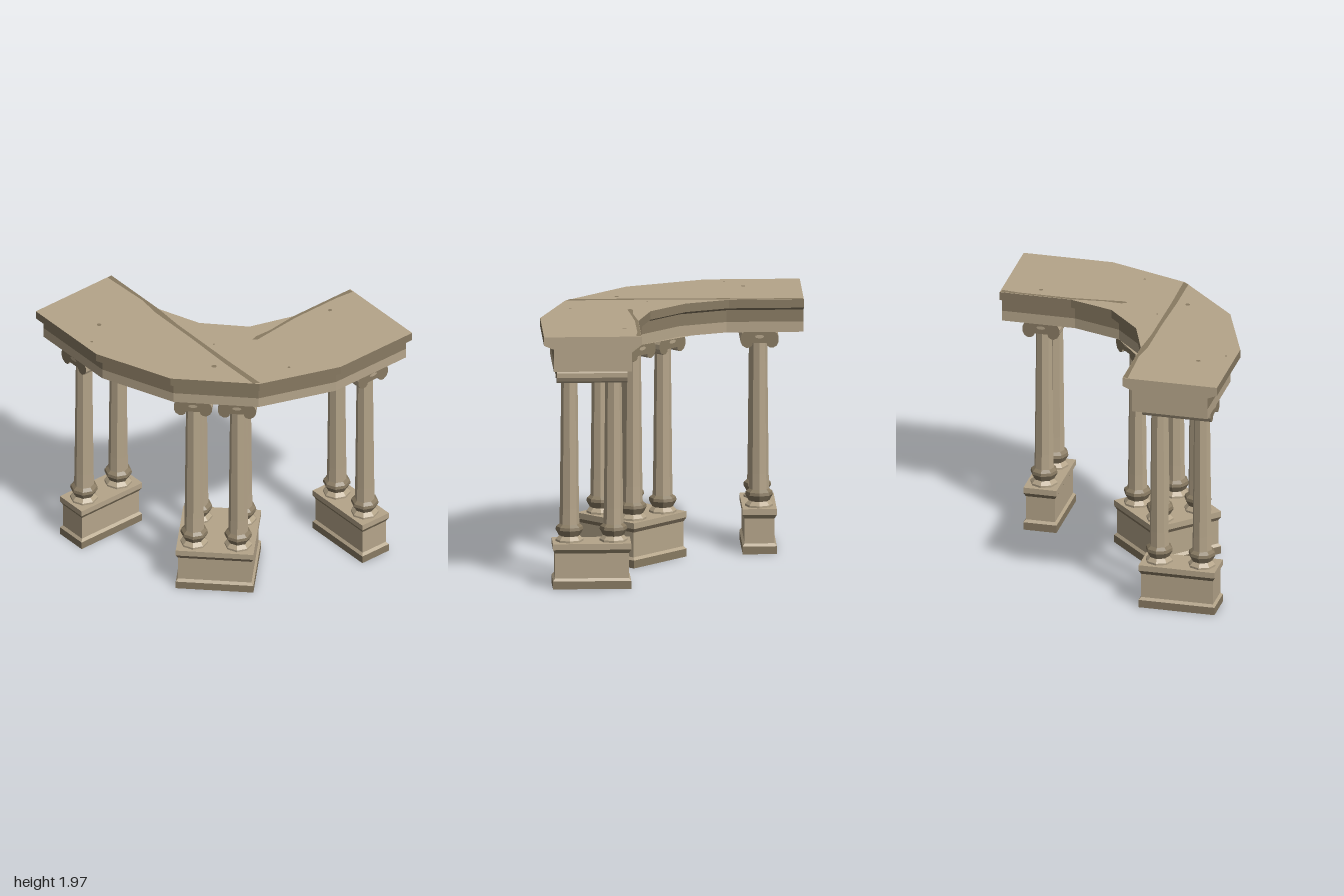
import * as THREE from 'three';

const stone = new THREE.MeshStandardMaterial({ color: 0xb5a58a });
stone.name = 'paleStone';
const worn = new THREE.MeshStandardMaterial({ color: 0x887a62 });
worn.name = 'weatheredStone';
const mats = [stone, worn];

function mesh(name, geometry, material) {
  const m = new THREE.Mesh(geometry, material);
  m.name = name;
  return m;
}

function flat(geometry) {
  const g = geometry.index ? geometry.toNonIndexed() : geometry;
  g.computeVertexNormals();
  return g;
}

// Closed solid through stacked outlines; colour(band, edge) gives a material index
function loft(name, rings, colour) {
  const buckets = [[], []];
  const n = rings[0].pts.length;
  const at = (r, i) => [r.pts[i % n][0], r.y, r.pts[i % n][1]];
  for (let k = 0; k < rings.length - 1; k++) {
    for (let i = 0; i < n; i++) {
      const a = at(rings[k], i), b = at(rings[k], i + 1);
      const c = at(rings[k + 1], i + 1), d = at(rings[k + 1], i);
      buckets[colour(k, i)].push(...a, ...b, ...c, ...a, ...c, ...d);
    }
  }
  const bottom = rings[0], top = rings[rings.length - 1];
  const outline = top.pts.map(([x, z]) => new THREE.Vector2(x, -z));
  for (const [a, b, c] of THREE.ShapeUtils.triangulateShape(outline, [])) {
    buckets[0].push(...at(top, a), ...at(top, b), ...at(top, c));
    buckets[0].push(...at(bottom, a), ...at(bottom, c), ...at(bottom, b));
  }
  const g = new THREE.BufferGeometry();
  g.setAttribute('position', new THREE.Float32BufferAttribute(buckets.flat(), 3));
  g.addGroup(0, buckets[0].length / 3, 0);
  g.addGroup(buckets[0].length / 3, buckets[1].length / 3, 1);
  return mesh(name, flat(g), mats);
}

// Moulded rectangular pedestal
function pedestal(name, hw, hl, x, z, turn) {
  const profile = [[0, 0], [0.06, 0], [0.08, 0.016], [0.27, 0.016], [0.3, 0], [0.345, 0]];
  const rings = profile.map(([y, inset]) => {
    const w = hw - inset, l = hl - inset;
    return { y, pts: [[-w, l], [w, l], [w, -l], [-w, -l]] };
  });
  const p = loft(name, rings, (band) => (band === 0 || band === 3 ? 1 : 0));
  p.position.set(x, 0, z);
  p.rotation.y = turn;
  return p;
}

function lathe(points) {
  return flat(new THREE.LatheGeometry(points.map(([r, y]) => new THREE.Vector2(r, y)), 8));
}

// Scroll-shaped capital section, mirrored about its centre
function capitalShape() {
  const half = [[0.105, 1.702], [0.13, 1.685], [0.143, 1.655], [0.143, 1.62],
    [0.128, 1.59], [0.1, 1.573], [0.075, 1.576], [0.057, 1.59], [0.052, 1.61]];
  const all = [...half, ...half.slice().reverse().map(([x, y]) => [-x, y])];
  return new THREE.Shape(all.reverse().map(([x, y]) => new THREE.Vector2(x, y)));
}

// Two columns sharing one long scrolled capital
function columnPair(x, z, turn) {
  const g = new THREE.Group();
  g.name = 'columnPair';
  for (const s of [-1, 1]) {
    const column = new THREE.Group();
    column.name = 'column';
    column.add(
      mesh('columnFoot', lathe([[0.104, 0.343], [0.104, 0.36], [0.078, 0.388]]), stone),
      mesh('columnRing', lathe([[0.078, 0.388], [0.104, 0.435], [0.1, 0.458], [0.075, 0.478]]), worn),
      mesh('columnShaft', lathe([[0.075, 0.478], [0.072, 0.6], [0.061, 1.625]]), stone)
    );
    column.position.z = s * 0.165;
    g.add(column);

    // Pale eye on each scroll end
    const eye = mesh('scrollEye', new THREE.CircleGeometry(0.035, 10), stone);
    eye.scale.y = 0.4;
    eye.position.set(0, 1.66, s * 0.267);
    if (s < 0) eye.rotation.y = Math.PI;
    g.add(eye);
  }
  const geo = new THREE.ExtrudeGeometry(capitalShape(), { depth: 0.53, bevelEnabled: false });
  geo.translate(0, 0, -0.265);
  g.add(mesh('scrollCapital', geo, [worn, stone]));
  g.position.set(x, 0, z);
  g.rotation.y = turn;
  return g;
}

// Thin stain plate lying on the top slab
function stain(points) {
  const shape = new THREE.Shape(points.map(([x, z]) => new THREE.Vector2(x, -z)));
  const geo = new THREE.ShapeGeometry(shape);
  geo.rotateX(-Math.PI / 2);
  geo.translate(0, 1.967, 0);
  return mesh('topStain', geo, worn);
}

export function createModel() {
  const model = new THREE.Group();
  model.name = 'curvedColonnade';

  // Curved entablature with overhanging cornice
  const outer = [[-1, 1], [-0.29, 1], [0.31, 0.77], [0.785, 0.3], [1, -0.31], [1, -1]];
  const inner = [[-1, 0.27], [-0.44, 0.27], [-0.11, 0.15], [0.165, -0.11], [0.27, -0.45], [0.27, -1]];
  const outline = (t) => {
    const mix = (a, b) => a.map((p, i) => [p[0] + (b[i][0] - p[0]) * t, p[1] + (b[i][1] - p[1]) * t]);
    return [...mix(outer, inner), ...mix(inner, outer).reverse()];
  };
  const rings = [[1.7, 0.1], [1.78, 0.1], [1.87, 0.1], [1.9, 0], [1.965, 0]]
    .map(([y, t]) => ({ y, pts: outline(t) }));
  const isEnd = (edge) => edge === 5 || edge === 11;
  model.add(loft('entablature', rings, (band, edge) => (band === 0 || isEnd(edge) ? 0 : 1)));

  // Weathering on the top slab
  model.add(
    stain([[0.272, -0.99], [0.31, -0.99], [0.295, -0.85], [0.297, -0.45], [0.315, -0.25],
      [0.335, -0.05], [0.31, -0.02], [0.295, -0.07], [0.3, -0.2], [0.272, -0.45]]),
    stain([[-0.995, 0.272], [-0.44, 0.272], [-0.2, 0.29], [0.4, 0.295], [0.778, 0.29], [0.75, 0.335],
      [0.4, 0.335], [0, 0.322], [-0.42, 0.32], [-0.6, 0.295], [-0.995, 0.31]])
  );
  for (const [x, z, r] of [[0.385, -0.71, 0.016], [0.395, 0.42, 0.02], [-0.565, 0.745, 0.018],
    [0.76, -0.005, 0.01], [-0.43, 0.925, 0.01], [0.175, 0.24, 0.008]]) {
    const spot = mesh('topSpot', new THREE.CircleGeometry(r, 7), worn);
    spot.rotation.x = -Math.PI / 2;
    spot.position.set(x, 1.967, z);
    model.add(spot);
  }

  // Pedestals: one at each end and a square one at the bend
  model.add(
    pedestal('rightPedestal', 0.128, 0.293, -0.673, 0.637, 0),
    pedestal('backPedestal', 0.128, 0.293, 0.633, -0.707, Math.PI / 2),
    pedestal('middlePedestal', 0.292, 0.292, 0.29, 0.292, Math.PI / 4)
  );

  // Columns
  model.add(
    columnPair(-0.673, 0.637, 0),
    columnPair(0.633, -0.707, Math.PI / 2),
    columnPair(0.173, 0.409, Math.PI / 4),
    columnPair(0.407, 0.175, Math.PI / 4)
  );
  return model;
}
